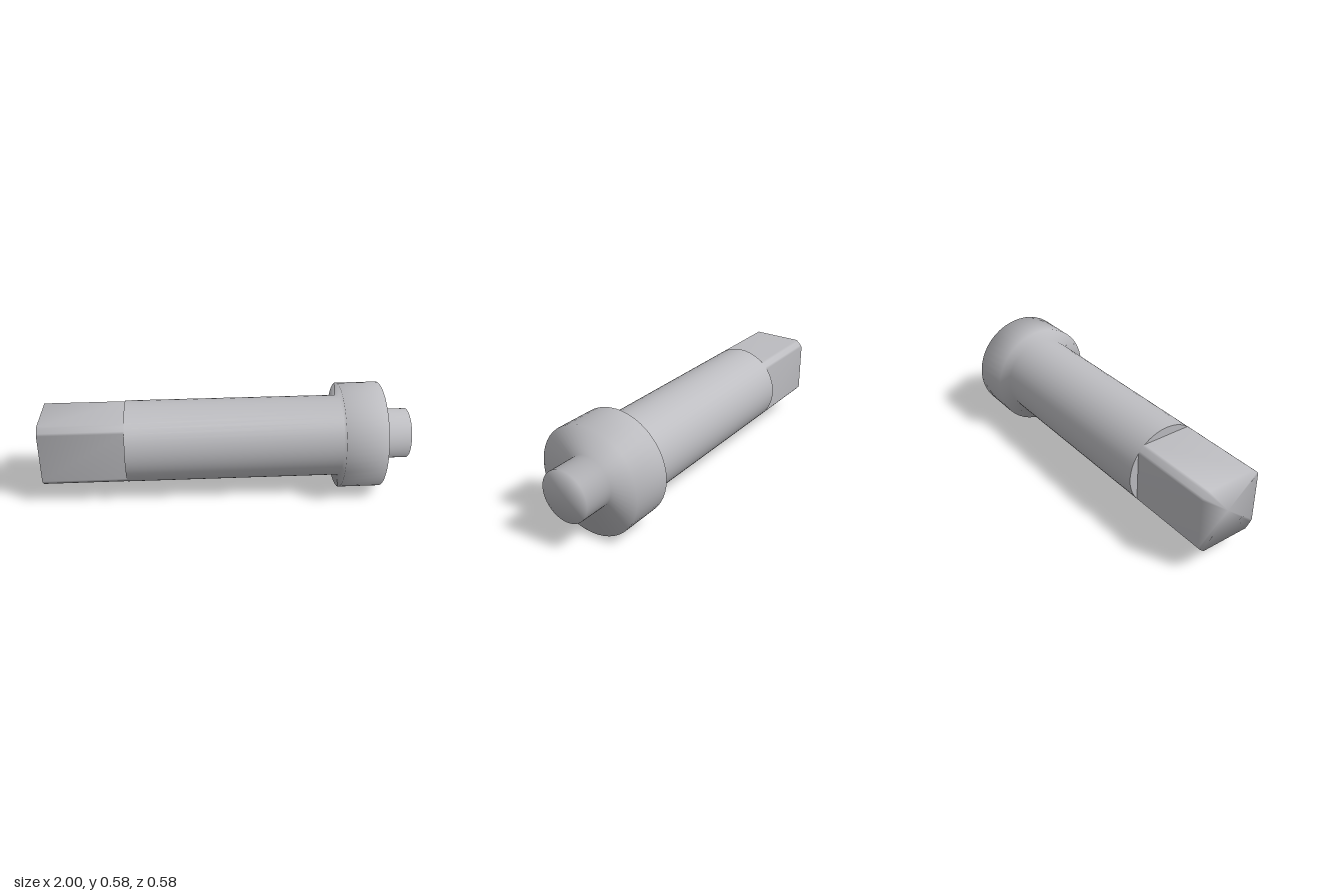
import * as THREE from 'three';

const AXIS_Y = 0.29, BODY_R = 0.2225, HALF = 0.175, STEP_X = -0.55, END_X = -1;

// Square bar with corners rounded to the body radius, running along x
function squareTang() {
  const a0 = Math.acos(HALF / BODY_R), a1 = Math.PI / 2 - a0, steps = 4;
  const angles = [];
  for (let q = 0; q < 4; q++)
    for (let i = 0; i <= steps; i++)
      angles.push(q * Math.PI / 2 + a0 + (a1 - a0) * i / steps);
  const n = angles.length, pos = [], idx = [];
  for (const x of [END_X, STEP_X])
    for (const t of angles) pos.push(x, BODY_R * Math.cos(t), BODY_R * Math.sin(t));
  pos.push(END_X, 0, 0);
  for (let i = 0; i < n; i++) {
    const j = (i + 1) % n;
    idx.push(i, j, n + i, j, n + j, n + i); // side
    idx.push(2 * n, j, i); // end face
  }
  const g = new THREE.BufferGeometry();
  g.setAttribute('position', new THREE.Float32BufferAttribute(pos, 3));
  g.setIndex(idx);
  g.computeVertexNormals();
  return g;
}

export function createModel() {
  const group = new THREE.Group();
  const steel = new THREE.MeshStandardMaterial({ color: 0xbcbcc0 });
  steel.name = 'steel grey';
  const add = (name, geometry) => {
    const mesh = new THREE.Mesh(geometry, steel);
    mesh.name = name;
    mesh.position.y = AXIS_Y;
    group.add(mesh);
  };

  // Round shaft, wide collar and end pin as one smooth turned piece
  const profile = [
    [BODY_R, STEP_X], [BODY_R, 0.61], [0.29, 0.61], [0.29, 0.835],
    [0.137, 0.835], [0.137, 1], [0, 1],
  ].map(([r, x]) => new THREE.Vector2(r, x));
  add('shaftCollarAndPin', new THREE.LatheGeometry(profile, 48).rotateZ(-Math.PI / 2));

  // Flat step where the shaft meets the tang
  add('shaftShoulder', new THREE.CircleGeometry(BODY_R, 48).rotateY(-Math.PI / 2).translate(STEP_X, 0, 0));

  add('squareTang', squareTang());
  return group;
}
